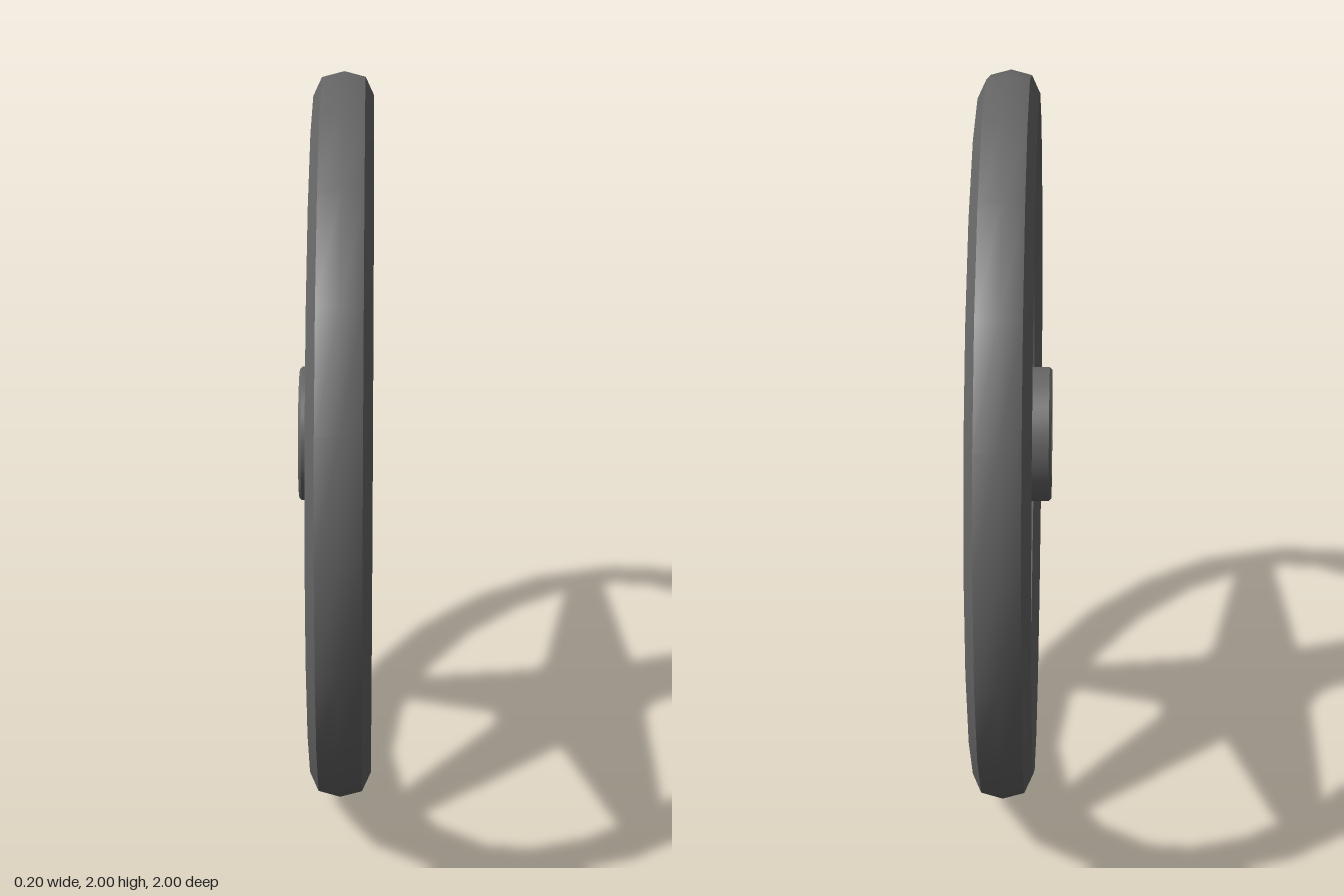
import * as THREE from 'three';
import { toCreasedNormals } from 'three/addons/utils/BufferGeometryUtils.js';

const material = new THREE.MeshStandardMaterial({ color: 0x666666 });

function part(name, geometry) {
  const mesh = new THREE.Mesh(toCreasedNormals(geometry, 0.7), material);
  mesh.name = name;
  mesh.position.y = 1;
  return mesh;
}

// Turns a profile of [radius, x] points around the x axis
function turned(points, segments) {
  const profile = points.map(([r, x]) => new THREE.Vector2(r, x));
  return new THREE.LatheGeometry(profile, segments).rotateZ(-Math.PI / 2);
}

// Five-armed plate with rounded valleys between the arms, mirrored left to right
function spokeShape() {
  const shape = new THREE.Shape();
  shape.moveTo(-0.066, 0.9);
  shape.lineTo(0.066, 0.9);
  shape.lineTo(0.148, 0.31);
  shape.quadraticCurveTo(0.159, 0.233, 0.23, 0.23);
  shape.lineTo(0.89, 0.197);
  shape.lineTo(0.89, 0.095);
  shape.lineTo(0.335, -0.07);
  shape.quadraticCurveTo(0.252, -0.095, 0.275, -0.17);
  shape.lineTo(0.456, -0.765);
  shape.lineTo(0.36, -0.815);
  shape.lineTo(0.062, -0.37);
  shape.quadraticCurveTo(0, -0.29, -0.062, -0.37);
  shape.lineTo(-0.36, -0.815);
  shape.lineTo(-0.456, -0.765);
  shape.lineTo(-0.275, -0.17);
  shape.quadraticCurveTo(-0.252, -0.095, -0.335, -0.07);
  shape.lineTo(-0.89, 0.095);
  shape.lineTo(-0.89, 0.197);
  shape.lineTo(-0.23, 0.23);
  shape.quadraticCurveTo(-0.159, 0.233, -0.148, 0.31);
  shape.closePath();
  return shape;
}

export function createModel() {
  const group = new THREE.Group();
  group.name = 'wheel';

  // Faceted rim with a ridge on each side
  group.add(part('rim', turned([
    [0.935, -0.06], [0.985, -0.037], [1, 0.02], [0.985, 0.077], [0.935, 0.1],
    [0.88, 0.077], [0.867, 0.02], [0.88, -0.037], [0.935, -0.06],
  ], 20)));

  // Spoke plate with slightly bevelled edges
  const spokes = new THREE.ExtrudeGeometry(spokeShape(), {
    depth: 0.044, curveSegments: 6,
    bevelEnabled: true, bevelThickness: 0.007, bevelSize: 0.007, bevelOffset: -0.007, bevelSegments: 1,
  });
  spokes.translate(0, 0, -0.002).rotateY(Math.PI / 2);
  group.add(part('spokes', spokes));

  // Hub collar with a recess and a central button
  group.add(part('hub', turned([
    [0, -0.095], [0.082, -0.095], [0.09, -0.088], [0.09, -0.07], [0.125, -0.07],
    [0.13, -0.1], [0.178, -0.1], [0.185, -0.093], [0.185, 0],
  ], 32)));

  return group;
}
